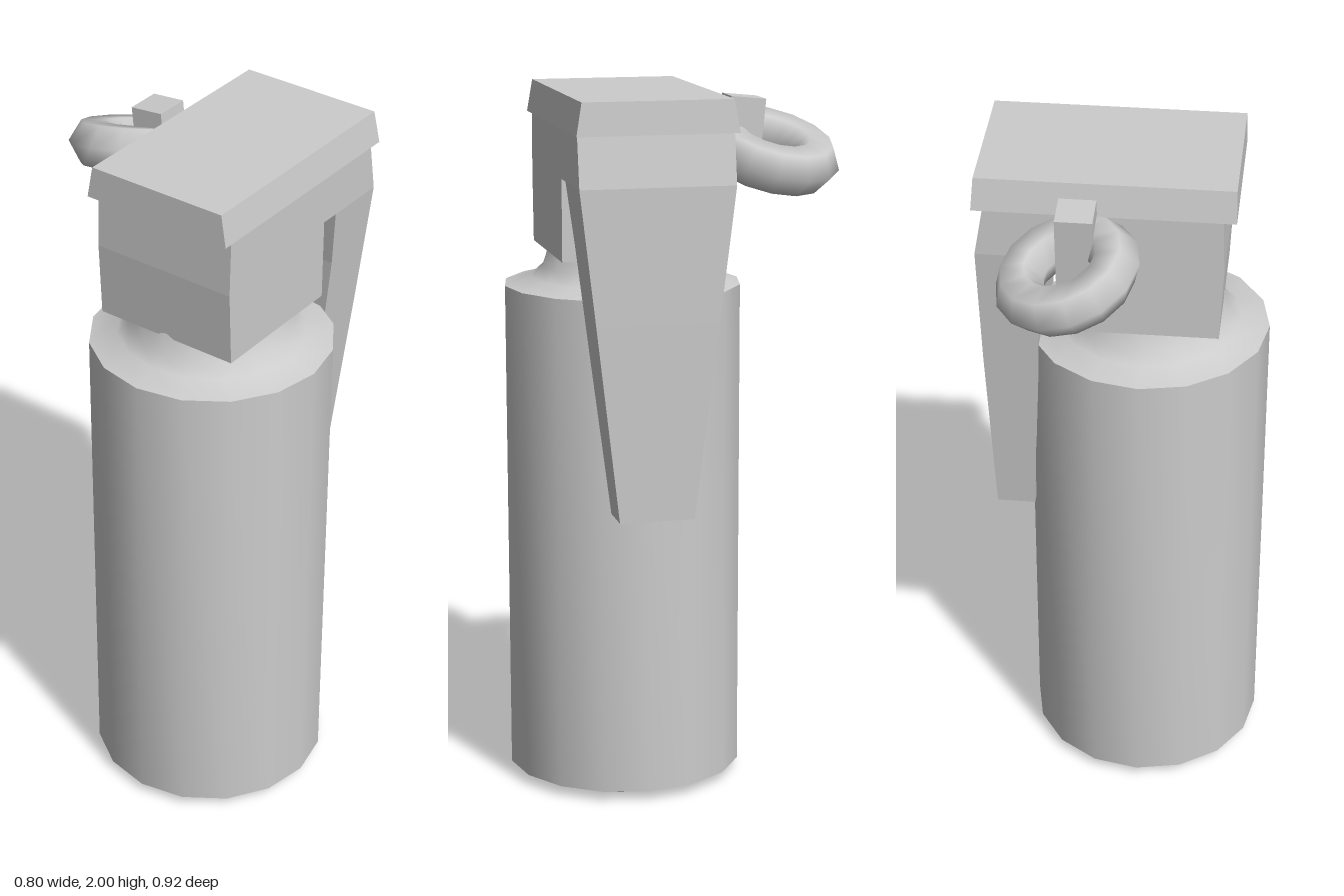
import * as THREE from 'three';
import { toCreasedNormals } from 'three/addons/utils/BufferGeometryUtils.js';

export function createModel() {
  const group = new THREE.Group();
  const grey = new THREE.MeshStandardMaterial({ color: 0xcccccc });
  grey.name = 'grey metal';
  const MID = 0.12; // z of the body axis and head middle

  const add = (name, geometry) => {
    const mesh = new THREE.Mesh(geometry, grey);
    mesh.name = name;
    group.add(mesh);
    return mesh;
  };

  // Extrude a front outline along z, with the half width given by height
  const slab = (points, halfWidth) => {
    const shape = new THREE.Shape(points.map(([x, y]) => new THREE.Vector2(x, y)));
    const geo = new THREE.ExtrudeGeometry(shape, { depth: 2, bevelEnabled: false });
    const pos = geo.attributes.position;
    for (let i = 0; i < pos.count; i++) {
      pos.setZ(i, MID + (pos.getZ(i) - 1) * halfWidth(pos.getY(i)));
    }
    geo.computeVertexNormals();
    return geo;
  };

  // Cylindrical body with a dished base, sloped shoulder and flared neck
  const profile = [
    [0, 0.1], [0.12, 0.08], [0.21, 0.04], [0.26, 0], [0.338, 0.03],
    [0.338, 1.445], [0.26, 1.465], [0.228, 1.495], [0.21, 1.55], [0, 1.55],
  ].map(([r, y]) => new THREE.Vector2(r, y));
  const body = add('body', toCreasedNormals(new THREE.LatheGeometry(profile, 16), 0.6));
  body.position.set(-0.062, 0, MID);

  // Head block, reaching over to the top of the lever
  add('head', slab([
    [-0.27, 1.54], [0.15, 1.54], [0.15, 1.77], [0.39, 1.77],
    [0.365, 1.91], [-0.275, 1.91], [-0.28, 1.75],
  ], () => 0.215));

  // Cap, slightly narrower at the top
  add('cap', slab([
    [-0.31, 1.91], [0.395, 1.91], [0.388, 2], [-0.308, 2],
  ], (y) => (y > 1.95 ? 0.207 : 0.223)));

  // Safety lever, tapering downward
  add('lever', slab([
    [0.205, 1.77], [0.225, 1.6], [0.236, 1.3], [0.26, 0.85],
    [0.37, 0.85], [0.385, 1.4], [0.39, 1.77],
  ], (y) => 0.105 + 0.11 * (y - 0.85) / 0.92));

  // Tilted pull ring
  const ring = add('pullRing', new THREE.TorusGeometry(0.134, 0.068, 6, 14));
  ring.position.set(0.12, 1.83, -0.26);
  ring.quaternion.setFromUnitVectors(
    new THREE.Vector3(0, 0, 1), new THREE.Vector3(0.33, 1, -0.2).normalize());

  // Pin that hooks through the ring into the head
  const pinTop = new THREE.BoxGeometry(0.1, 0.21, 0.1);
  add('pin', pinTop).position.set(0.105, 1.875, -0.18);
  group.children.at(-1).rotation.x = -0.1;
  add('pinStub', new THREE.BoxGeometry(0.09, 0.05, 0.13)).position.set(0.105, 1.785, -0.145);

  return group;
}
